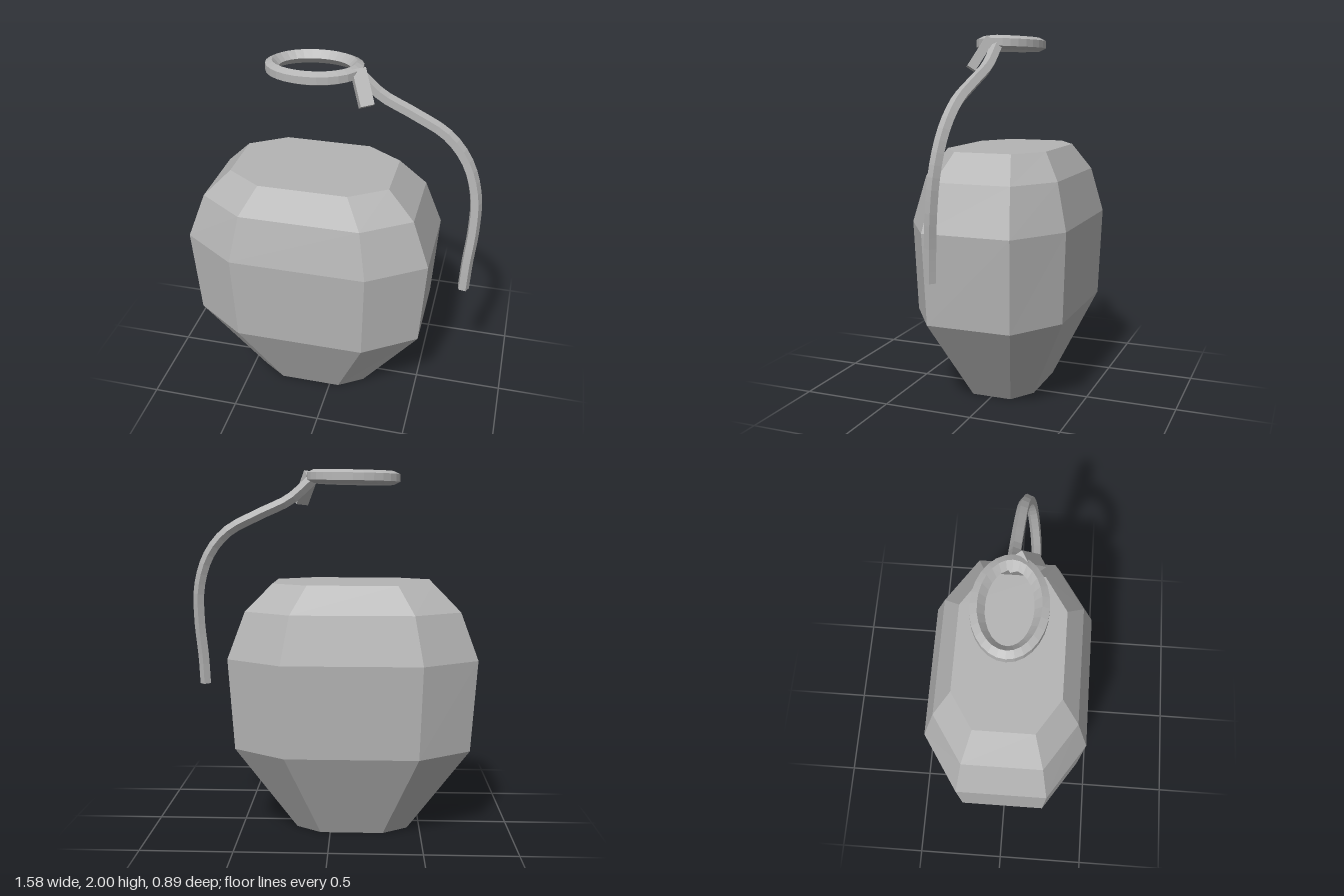
import * as THREE from 'three';

// Closed, capped skin over matching cross-sections (counterclockwise seen from the travel end).
function loft(sections) {
  const n = sections[0].length;
  const points = sections.flat();
  const index = [];
  for (let i = 0; i < sections.length - 1; i++) {
    for (let j = 0; j < n; j++) {
      const k = (j + 1) % n;
      const a = i * n + j, b = i * n + k;
      index.push(a, b, b + n, a, b + n, a + n);
    }
  }
  const last = (sections.length - 1) * n;
  for (let j = 1; j < n - 1; j++) {
    index.push(0, j + 1, j, last, last + j, last + j + 1);
  }
  const geometry = new THREE.BufferGeometry().setFromPoints(points);
  geometry.setIndex(index);
  const flat = geometry.toNonIndexed();
  flat.computeVertexNormals();
  return flat;
}

export function createModel() {
  const group = new THREE.Group();
  const gray = new THREE.MeshStandardMaterial({ color: 0xb4b4b4, flatShading: true });
  gray.name = 'gray';
  const add = (name, geometry) => {
    const mesh = new THREE.Mesh(geometry, gray);
    mesh.name = name;
    group.add(mesh);
    return mesh;
  };
  const centerX = -0.12;

  // Faceted body: [height, half width, front edge half width, half depth, side edge half depth]
  const levels = [
    [0, 0.31, 0.173, 0.203, 0.113],
    [0.485, 0.64, 0.355, 0.425, 0.234],
    [0.985, 0.672, 0.37, 0.443, 0.243],
    [1.24, 0.578, 0.325, 0.38, 0.211],
    [1.387, 0.433, 0.24, 0.286, 0.16],
  ];
  add('body', loft(levels.map(([y, w, c, d, s]) => [
    [w, s], [w, -s], [c, -d], [-c, -d], [-w, -s], [-w, s], [-c, d], [c, d],
  ].map(([x, z]) => new THREE.Vector3(centerX + x, y, z)))));

  // Oval loop with a five-sided section, rising slightly towards its free end
  const profile = [[0.035, -0.02], [0, -0.037], [-0.035, 0], [0, 0.037], [0.035, 0.02]];
  const loop = [];
  const steps = 28;
  for (let i = 0; i <= steps; i++) {
    const t = (i / steps) * Math.PI * 2;
    const lift = 1.961 - 0.012 * Math.sin(t / 2);
    loop.push(profile.map(([r, y]) => new THREE.Vector3(
      centerX + (0.22 + r) * Math.cos(t), lift + y, -(0.148 + r) * Math.sin(t))));
  }
  add('loop', loft(loop));

  // Long tail hanging from the loop
  const path = new THREE.CatmullRomCurve3([
    [0.08, 1.965, 0], [0.13, 1.92, 0], [0.23, 1.835, 0.002], [0.4, 1.755, 0.01],
    [0.58, 1.66, 0.023], [0.69, 1.53, 0.04], [0.75, 1.35, 0.06], [0.757, 1.15, 0.08],
    [0.742, 0.95, 0.096], [0.735, 0.785, 0.102],
  ].map((p) => new THREE.Vector3(...p)));
  const segments = 26;
  const frames = path.computeFrenetFrames(segments);
  const tail = [];
  for (let i = 0; i <= segments; i++) {
    const center = path.getPointAt(i / segments);
    tail.push(Array.from({ length: 5 }, (_, j) => {
      const a = (j / 5) * Math.PI * 2;
      return center.clone()
        .addScaledVector(frames.normals[i], 0.033 * Math.cos(a))
        .addScaledVector(frames.binormals[i], 0.033 * Math.sin(a));
    }));
  }
  add('tail', loft(tail));

  // Short slanted end beside the knot
  const top = new THREE.Vector3(0.113, 1.977, 0.037);
  const bottom = new THREE.Vector3(0.178, 1.82, 0.12);
  const up = top.clone().sub(bottom);
  const length = up.length();
  up.normalize();
  const side = new THREE.Vector3(0.07, 0, -0.035);
  side.addScaledVector(up, -side.dot(up)).normalize();
  const stub = add('shortEnd', new THREE.BoxGeometry(0.072, length, 0.048));
  stub.quaternion.setFromRotationMatrix(
    new THREE.Matrix4().makeBasis(side, up, side.clone().cross(up)));
  stub.position.copy(top).add(bottom).multiplyScalar(0.5);

  return group;
}
